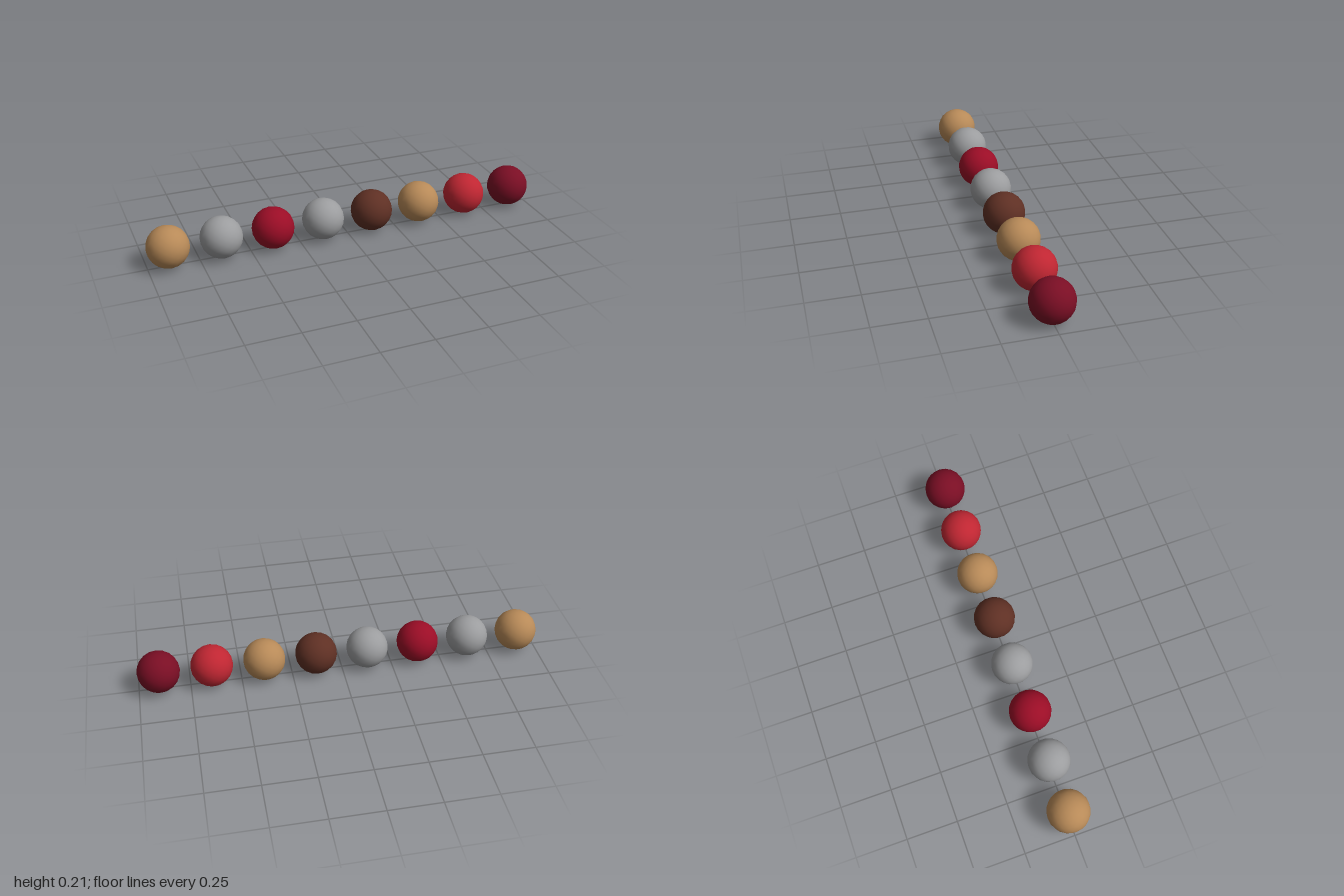
import * as THREE from 'three';

const RADIUS = 0.103;
const SPACING = (2 - 2 * RADIUS) / 7;

function material(name, color) {
  const m = new THREE.MeshStandardMaterial({ color });
  m.name = name;
  return m;
}

export function createModel() {
  const group = new THREE.Group();
  group.name = 'ballRow';

  const tan = material('tan', 0xb88a58);
  const grey = material('grey', 0x9c9d9f);
  const crimson = material('crimson', 0x9b0d26);
  const brown = material('brown', 0x5f3024);
  const red = material('red', 0xc02632);
  const maroon = material('maroon', 0x7a0e24);

  // Smooth-shaded ball with a coarse outline
  const ball = new THREE.IcosahedronGeometry(RADIUS, 3);

  // Evenly spaced row, from -x to +x
  const colours = [tan, grey, crimson, grey, brown, tan, red, maroon];
  colours.forEach((colour, i) => {
    const mesh = new THREE.Mesh(ball, colour);
    mesh.name = `${colour.name}Ball${i + 1}`;
    mesh.position.set((i - 3.5) * SPACING, RADIUS, 0);
    group.add(mesh);
  });

  return group;
}
